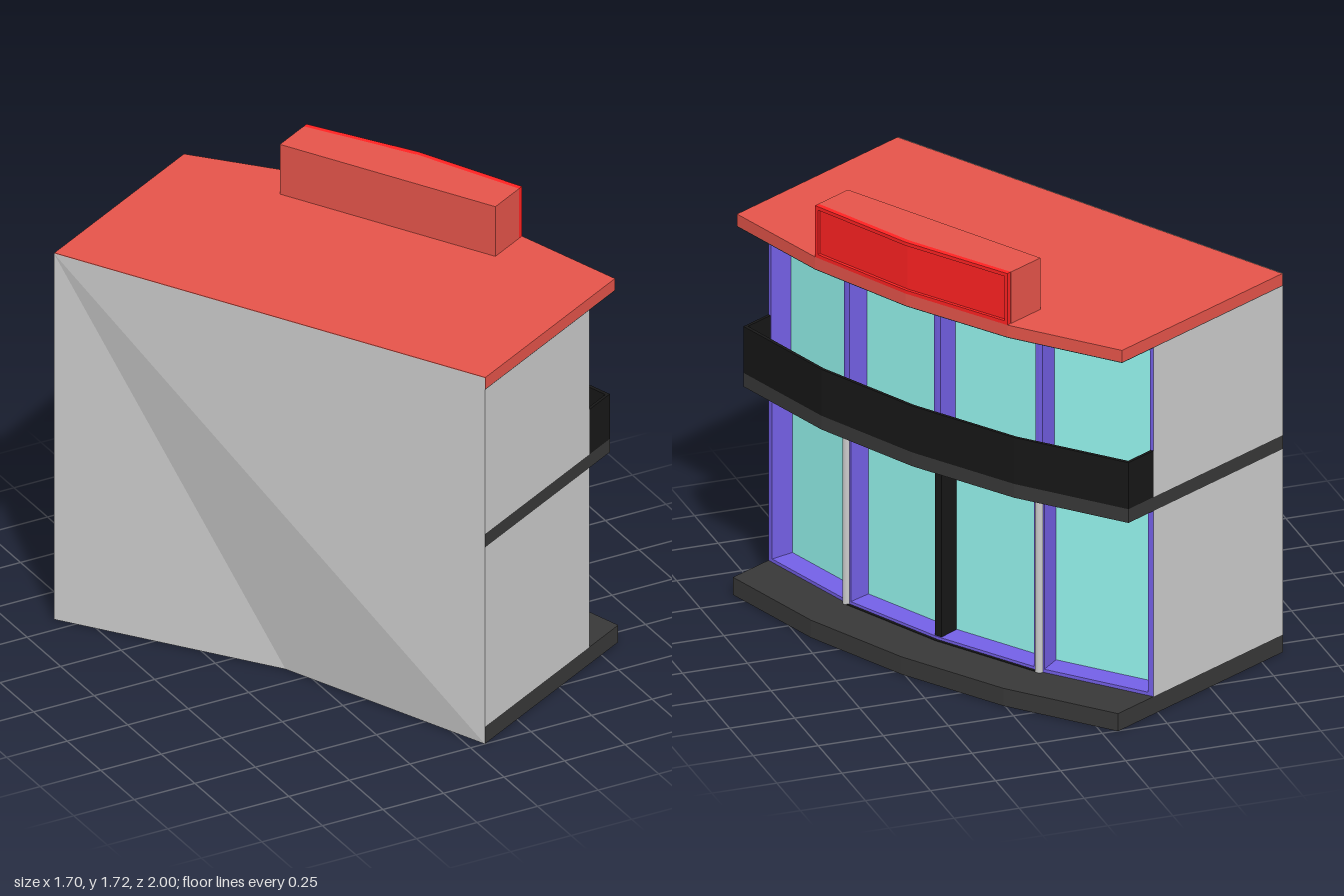
import * as THREE from 'three';

const mat = (color, opts = {}) => new THREE.MeshStandardMaterial({ color, flatShading: true, side: THREE.DoubleSide, ...opts });
const grey = mat(0xcccccc), roofRed = mat(0xe5544a), signRed = mat(0xff2222), dark = mat(0x383838),
  black = mat(0x171717), purple = mat(0x7460e6), glassBlue = mat(0x96f7f0), green = mat(0x5f8a55);

// Plan position: s runs along the building (-1..1), v outwards from the back wall
const plan = (s, v) => new THREE.Vector2(-0.396 + 0.455 * s + 0.877 * v, 0.215 + 0.785 * s - 0.48 * v);
const STOPS = [-1, -0.5, 0, 0.5, 1];
const bulge = s => [0.13, 0.10, 0][Math.round(Math.abs(s) * 2)];
const arc = (v, stops = STOPS) => stops.map(s => [s, v + bulge(s)]);
const WALL = 0.708, BASE = 0.902, FLOOR = 0.845, ROOF = 0.88;

function add(parent, name, geometry, material) {
  const mesh = new THREE.Mesh(geometry, material);
  mesh.name = name;
  parent.add(mesh);
  return mesh;
}

// Horizontal slab from a plan outline of [s, v] pairs
function slab(parent, name, outline, y0, y1, material) {
  const shape = new THREE.Shape(outline.map(([s, v]) => {
    const p = plan(s, v);
    return new THREE.Vector2(p.x, -p.y);
  }));
  const geo = new THREE.ExtrudeGeometry(shape, { depth: y1 - y0, bevelEnabled: false });
  geo.rotateX(-Math.PI / 2).translate(0, y0, 0);
  return add(parent, name, geo, material);
}

// Group whose x runs along one facet and whose z points outwards
function facet(parent, name, s0, s1, v, y) {
  const a = plan(s1, v + bulge(s1)), b = plan(s0, v + bulge(s0));
  const g = new THREE.Group();
  g.name = name;
  g.position.set(a.x, y, a.y);
  g.rotation.y = Math.atan2(-(b.y - a.y), b.x - a.x);
  g.userData.width = a.distanceTo(b);
  parent.add(g);
  return g;
}

function box(parent, name, x0, x1, y0, y1, z0, z1, material) {
  const m = add(parent, name, new THREE.BoxGeometry(x1 - x0, y1 - y0, z1 - z0), material);
  m.position.set((x0 + x1) / 2, (y0 + y1) / 2, (z0 + z1) / 2);
  return m;
}

// Surface from a flat list of corner triples
function surface(parent, name, corners, material) {
  const geo = new THREE.BufferGeometry();
  geo.setAttribute('position', new THREE.Float32BufferAttribute(corners.flat(), 3));
  geo.computeVertexNormals();
  return add(parent, name, geo, material);
}
const at = (s, v, y) => { const p = plan(s, v); return [p.x, y, p.y]; };

function endWall(parent, name, s, y0, y1, material) {
  const a = at(s, 0, y0), b = at(s, WALL, y0), c = at(s, WALL, y1), d = at(s, 0, y1);
  surface(parent, name, s > 0 ? [a, b, c, a, c, d] : [a, c, b, a, d, c], material);
}

// Deep window frame with the glass at its back; jambs are [start, end] widths
function windowPanel(parent, s0, s1, y0, y1, startJamb, endJamb) {
  const g = facet(parent, 'window', s0, s1, WALL, y0);
  const w = g.userData.width, h = y1 - y0, t = 0.013, d = 0.1;
  box(g, 'sill', 0, w, 0, t, -d, 0, purple);
  box(g, 'head', 0, w, h - t, h, -d, 0, purple);
  if (startJamb) box(g, 'jamb', 0, startJamb, t, h - t, -d, 0, purple);
  if (endJamb) box(g, 'jamb', w - endJamb, w, t, h - t, -d, 0, purple);
  box(g, 'glass', startJamb, w - endJamb, t, h - t, -d, -d + 0.008, glassBlue);
}

export function createModel() {
  const model = new THREE.Group();
  model.name = 'building';

  // Grey shell; the foot of the back wall is pushed in at its middle
  const aTop = at(-1, 0, 1.51), bTop = at(1, 0, 1.51), a = at(-1, 0, 0), b = at(1, 0, 0), m = at(0, 0.11, 0);
  surface(model, 'backWall', [aTop, a, m, aTop, m, b, aTop, b, bTop], grey);
  for (const s of [-1, 1]) {
    endWall(model, 'baseBand', s, 0, 0.07, dark);
    endWall(model, 'lowerEndWall', s, 0.07, 0.81, grey);
    endWall(model, 'upperEndWall', s, 0.865, 1.46, grey);
  }

  // Base terrace, middle floor and roof
  slab(model, 'baseSlab', [...arc(BASE), ...arc(WALL).reverse()], 0, 0.07, dark);
  slab(model, 'middleFloor', [[-1, 0], ...arc(FLOOR), [1, 0], [-0.07, 0.01], [-0.54, 0.06]], 0.81, 0.865, dark);
  slab(model, 'soffit', [[-1, 0.004], ...arc(ROOF), [1, 0.004]], 1.46, 1.463, dark);
  slab(model, 'roof', [[-1, 0.004], ...arc(ROOF), [1, 0.004]], 1.463, 1.51, roofRed);

  // Balcony parapet with returns at both ends
  const inner = arc(FLOOR - 0.012);
  inner[0][0] = -0.987;
  inner[4][0] = 0.987;
  slab(model, 'parapet', [[-1, WALL], ...arc(FLOOR), [1, WALL], [0.987, WALL], ...inner.reverse(), [-0.987, WALL]],
    0.865, 1.05, black);

  // Four facets of windows on both floors, with soffit lights above the terrace
  for (let i = 0; i < 4; i++) {
    const s0 = STOPS[i], s1 = STOPS[i + 1];
    windowPanel(model, s0, s1, 0.865, 1.46, 0.015, 0.015);
    windowPanel(model, s0, s1, 0.07, 0.81, i === 1 ? 0 : 0.022, i === 2 ? 0 : 0.022);
    const g = facet(model, 'soffitLight', s0, s1, WALL, 0.81);
    const w = g.userData.width;
    box(g, 'lightStrip', 0.08, w - 0.08, -0.006, 0, 0.045, 0.085, green);
    if (i === 1 || i === 2) {
      const t = facet(model, 'doorThreshold', s0, s1, WALL, 0.06);
      box(t, 'track', 0, w, 0, 0.012, -0.1, 0.01, black);
    }
  }

  // Sliding door post and the round columns beside it
  const post = facet(model, 'doorPost', -0.5, 0.5, WALL + 0.03, 0.06);
  const mid = post.userData.width / 2;
  box(post, 'post', mid - 0.015, mid + 0.015, 0, 0.735, -0.09, -0.005, black);
  for (const s of [-0.5, 0.5]) {
    const p = plan(s, WALL + bulge(s) - 0.002);
    add(model, 'column', new THREE.CylinderGeometry(0.016, 0.016, 0.74, 12), mat(0xcccccc, { flatShading: false }))
      .position.set(p.x, 0.44, p.y);
  }

  // Rooftop sign box with a recessed bright face
  const stops = [-0.5, 0, 0.5];
  slab(model, 'signBox', [[-0.5, 0.80], ...arc(ROOF - 0.02, stops), [0.5, 0.80]], 1.51, 1.715, roofRed);
  for (const [s0, s1] of [[-0.5, 0], [0, 0.5]]) {
    const g = facet(model, 'signFace', s0, s1, ROOF, 1.51);
    const w = g.userData.width, h = 0.205, t = 0.014;
    box(g, 'signBottomRim', 0, w, 0, t, -0.022, 0, signRed);
    box(g, 'signTopRim', 0, w, h - t, h, -0.022, 0, signRed);
    if (s1 > 0) box(g, 'signEndRim', 0, t, t, h - t, -0.022, 0, signRed);
    else box(g, 'signEndRim', w - t, w, t, h - t, -0.022, 0, signRed);
    box(g, 'signPanel', 0, w, t, h - t, -0.022, -0.012, signRed);
  }
  return model;
}
